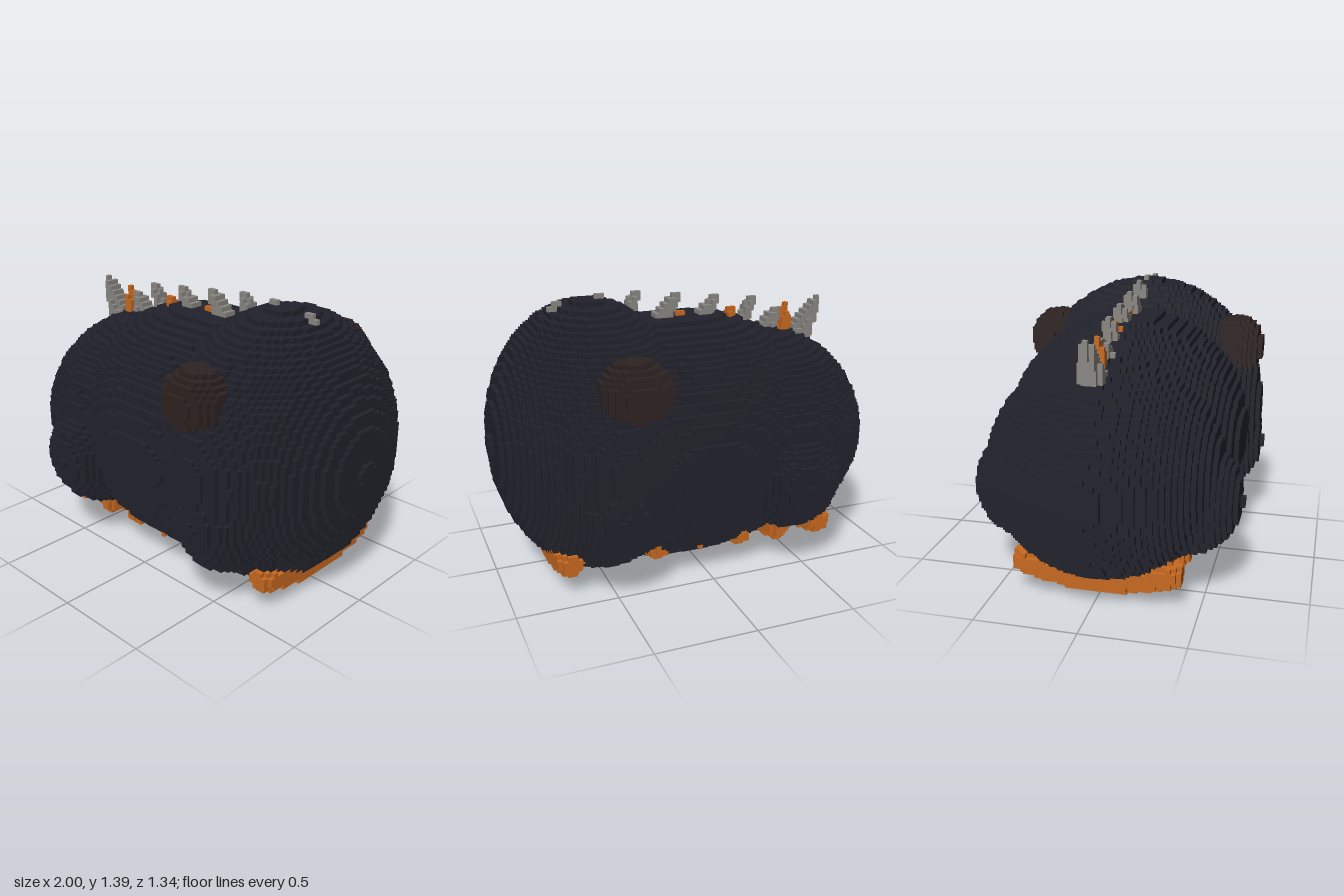
import * as THREE from 'three';

// Voxel grid: 85 x 59 x 57 cubes
const N = [85, 59, 57];
const S = 2 / N[0];
const ORIGIN = [-1, 0, -N[2] * S / 2];

const mat = (name, color) => {
  const m = new THREE.MeshStandardMaterial({ color });
  m.name = name;
  return m;
};

// Ellipsoid test, mirrored in z; px squares off the x direction
const ellipsoid = (c, r, px = 2) => (x, y, z) =>
  Math.abs((x - c[0]) / r[0]) ** px + ((y - c[1]) / r[1]) ** 2 + ((Math.abs(z) - c[2]) / r[2]) ** 2 <= 1;

// Tapered spike on the spine, from base to tip
const spike = (tx, ty, bx, by, r) => (x, y, z) => {
  const dx = tx - bx, dy = ty - by;
  const t = Math.min(1, Math.max(0, ((x - bx) * dx + (y - by) * dy) / (dx * dx + dy * dy)));
  return Math.hypot(x - bx - t * dx, y - by - t * dy, z) <= r + (0.022 - r) * t;
};

// Curved band wrapping under the belly
const band = (cx, r) => (x, y, z) => {
  if (Math.abs(x - cx) > r) return false;
  const a = Math.min(0.35, Math.abs(z));
  return Math.hypot(x - cx, y - 0.11 - 0.42 * a * a, Math.abs(z) - a) <= r;
};

const any = (list) => (x, y, z) => list.some((f) => f(x, y, z));

// Parts in order of priority: the first one to claim a cell keeps it
const PARTS = [
  ['body', mat('charcoal', 0x22222c), any([
    ellipsoid([0.47, 0.68, 0], [0.52, 0.68, 0.645]),        // chest
    ellipsoid([0.03, 0.63, 0], [0.8, 0.628, 0.6], 2.5),     // trunk
    ellipsoid([-0.45, 0.61, 0], [0.55, 0.54, 0.57]),        // rump
    ellipsoid([-0.44, 0.48, 0.38], [0.27, 0.28, 0.28]),     // hips
    ellipsoid([0.5, 0.46, 0.36], [0.26, 0.3, 0.3]),         // shoulders
  ])],
  ['shoulderPatches', mat('dark brown', 0x2e2321), ellipsoid([0.41, 1.025, 0.5], [0.185, 0.16, 0.15])],
  ['bellyStripes', mat('orange', 0xc8691f), any([
    [-0.65, 0.068], [-0.42, 0.065], [-0.2, 0.058], [0.02, 0.045], [0.25, 0.058], [0.46, 0.055], [0.7, 0.067],
  ].map((b) => band(...b)))],
  ['spineEmbers', null, any([
    [-0.61, 1.245, -0.6, 1.1, 0.045], [-0.29, 1.255, -0.28, 1.18, 0.04], [-0.02, 1.25, -0.02, 1.2, 0.035],
  ].map((s) => spike(...s)))],
  ['spineSpikes', mat('ash grey', 0x8a8782), any([
    [-0.8, 1.275, -0.69, 1.09, 0.065], [-0.56, 1.235, -0.48, 1.1, 0.07], [-0.41, 1.295, -0.33, 1.14, 0.045],
    [-0.2, 1.325, -0.11, 1.19, 0.055], [0.01, 1.355, 0.1, 1.21, 0.055], [0.22, 1.375, 0.28, 1.25, 0.04],
    [0.41, 1.375, 0.46, 1.28, 0.03], [0.63, 1.345, 0.69, 1.24, 0.03],
  ].map((s) => spike(...s)))],
];
PARTS[3][1] = PARTS[2][1];

export function createModel() {
  // Fill the grid: 0 is empty, otherwise part index + 1
  const cells = new Uint8Array(N[0] * N[1] * N[2]);
  const index = (p) => (p[0] * N[1] + p[1]) * N[2] + p[2];
  const at = (p) => (p.every((v, i) => v >= 0 && v < N[i]) ? cells[index(p)] : 0);
  const eachCell = (fn) => {
    for (let i = 0; i < N[0]; i++)
      for (let j = 0; j < N[1]; j++)
        for (let k = 0; k < N[2]; k++) fn([i, j, k]);
  };
  eachCell((p) => {
    const c = p.map((v, i) => ORIGIN[i] + (v + 0.5) * S);
    cells[index(p)] = PARTS.findIndex((part) => part[2](...c)) + 1;
  });

  // Emit only the cube faces that touch empty space
  const out = PARTS.map(() => ({ pos: [], nor: [] }));
  eachCell((p) => {
    const id = at(p);
    if (!id) return;
    for (let d = 0; d < 3; d++) for (const s of [1, -1]) {
      const next = p.slice();
      next[d] += s;
      if (at(next)) continue;
      const u = (d + 1) % 3, v = (d + 2) % 3;
      const quad = [[0, 0], [1, 0], [1, 1], [0, 1]];
      if (s < 0) quad.reverse();
      const normal = [0, 0, 0];
      normal[d] = s;
      for (const q of [0, 1, 2, 0, 2, 3]) {
        const c = p.slice();
        c[d] += s > 0 ? 1 : 0;
        c[u] += quad[q][0];
        c[v] += quad[q][1];
        out[id - 1].pos.push(...c.map((w, i) => ORIGIN[i] + w * S));
        out[id - 1].nor.push(...normal);
      }
    }
  });

  // One mesh per part
  const group = new THREE.Group();
  group.name = 'voxelCreature';
  PARTS.forEach(([name, material], i) => {
    const geo = new THREE.BufferGeometry();
    geo.setAttribute('position', new THREE.Float32BufferAttribute(out[i].pos, 3));
    geo.setAttribute('normal', new THREE.Float32BufferAttribute(out[i].nor, 3));
    const mesh = new THREE.Mesh(geo, material);
    mesh.name = name;
    group.add(mesh);
  });
  return group;
}
